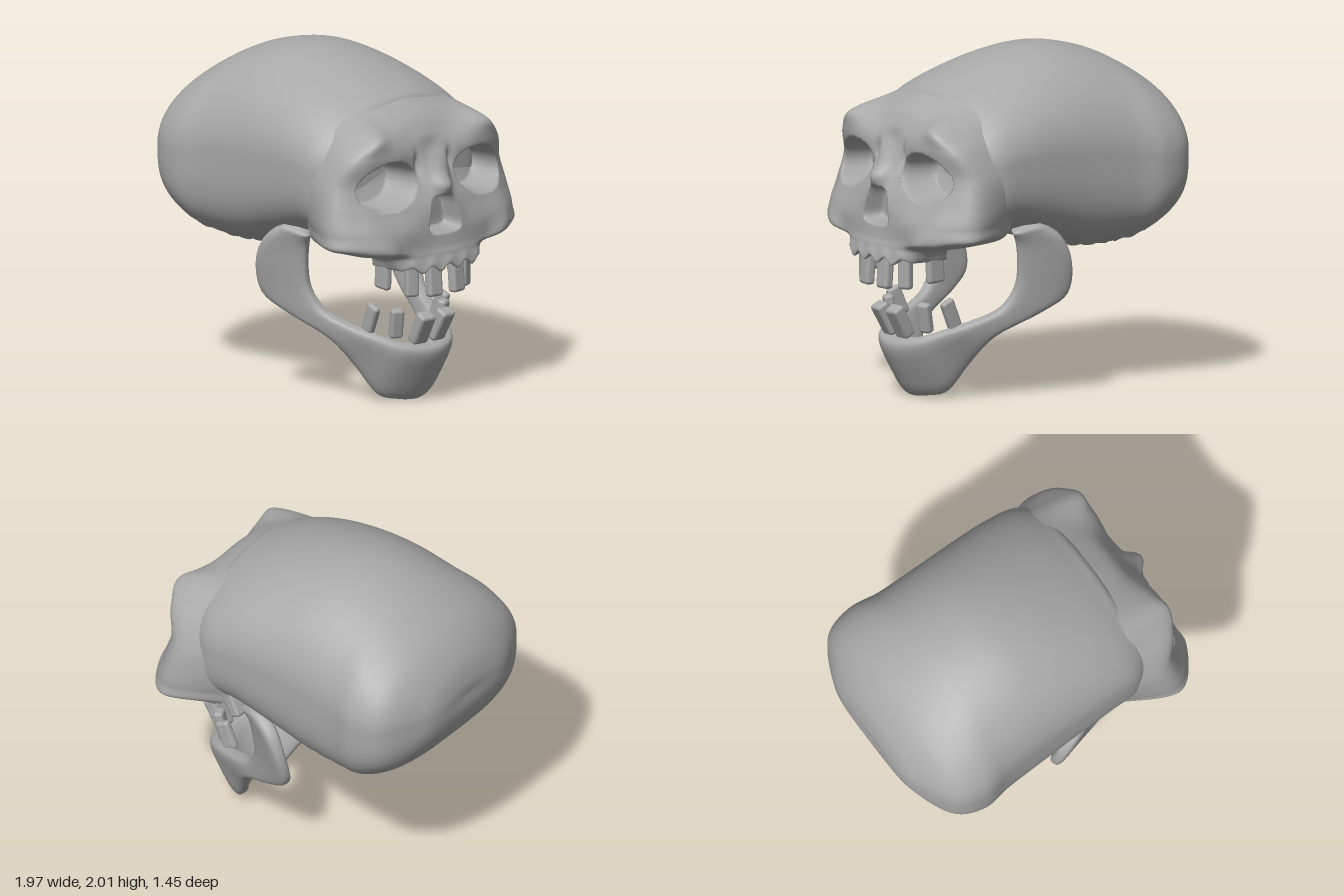
import * as THREE from 'three';
import { RoundedBoxGeometry } from 'three/addons/geometries/RoundedBoxGeometry.js';

// Catmull-Rom through rows of numbers, t in 0..1
function spline(rows, t) {
  const n = rows.length - 1;
  const s = Math.min(Math.max(t, 0), 1) * n;
  const i = Math.min(Math.floor(s), n - 1), f = s - i;
  const at = k => rows[Math.min(Math.max(k, 0), n)];
  const [a, b, c, d] = [at(i - 1), at(i), at(i + 1), at(i + 2)];
  return b.map((_, k) => 0.5 * (2 * b[k] + (c[k] - a[k]) * f
    + (2 * a[k] - 5 * b[k] + 4 * c[k] - d[k]) * f * f
    + (3 * b[k] - a[k] - 3 * c[k] + d[k]) * f * f * f));
}

// Grid surface from point(u, v) -> [x, y, z]; closed joins the last column to the first
function surface(nu, nv, closed, point) {
  const pos = [], idx = [], cols = closed ? nv : nv + 1;
  for (let i = 0; i <= nu; i++)
    for (let j = 0; j < cols; j++) pos.push(...point(i / nu, j / nv));
  for (let i = 0; i < nu; i++)
    for (let j = 0; j < nv; j++) {
      const k = (j + 1) % cols;
      const a = i * cols + j, b = a + cols, c = (i + 1) * cols + k, d = i * cols + k;
      idx.push(a, b, c, a, c, d);
    }
  const g = new THREE.BufferGeometry();
  g.setAttribute('position', new THREE.Float32BufferAttribute(pos, 3));
  g.setIndex(idx);
  g.computeVertexNormals();
  return g;
}

const power = (v, e) => Math.sign(v) * Math.pow(Math.abs(v), e);
const smooth = THREE.MathUtils.smoothstep;

// Cranium stations from back to front: x, top, bottom, half width
const CRANIUM = [
  [-0.98, 1.38, 1.38, 0], [-0.98, 1.47, 1.28, 0.27], [-0.935, 1.61, 1.14, 0.44],
  [-0.82, 1.755, 0.99, 0.64], [-0.64, 1.875, 0.865, 0.7], [-0.45, 1.955, 0.815, 0.67],
  [-0.2, 2.0, 0.825, 0.66], [0.05, 1.975, 0.89, 0.66], [0.3, 1.905, 0.955, 0.66],
  [0.5, 1.825, 0.955, 0.64], [0.6, 1.755, 1.02, 0.54], [0.63, 1.55, 1.2, 0.28], [0.63, 1.38, 1.38, 0],
];

function craniumPoint(u, v) {
  const [x, top, bottom, w] = spline(CRANIUM, u);
  const a = v * Math.PI * 2, c = Math.cos(a), s = Math.sin(a);
  const e = s >= 0 ? 1 : 2 / 3.3;
  let y = (top + bottom) / 2 + power(s, e) * (top - bottom) / 2;
  const z = power(c, e) * w;
  // ribbed underside at the back
  const rib = smooth(x, -0.8, -0.65) * (1 - smooth(x, -0.2, 0)) * (1 - smooth(y, 0.85, 1));
  y += rib * 0.006 * (Math.sin(x * 60) + Math.sin(z * 45));
  return [x, y, z];
}

// Face rows from forehead to palate: y, then x,z pairs from the middle to the temple
const FACE = [
  [1.80, 0.53, 0, 0.51, 0.10, 0.47, 0.20, 0.41, 0.30, 0.32, 0.36, 0.20, 0.42],
  [1.70, 0.71, 0, 0.70, 0.12, 0.66, 0.26, 0.59, 0.38, 0.44, 0.44, 0.28, 0.46],
  [1.60, 0.79, 0, 0.79, 0.14, 0.81, 0.30, 0.82, 0.44, 0.63, 0.51, 0.38, 0.52],
  [1.50, 0.82, 0, 0.84, 0.14, 0.86, 0.32, 0.82, 0.52, 0.69, 0.60, 0.36, 0.56],
  [1.35, 0.93, 0, 0.86, 0.13, 0.83, 0.34, 0.79, 0.54, 0.66, 0.665, 0.34, 0.60],
  [1.20, 0.95, 0, 0.92, 0.13, 0.88, 0.34, 0.83, 0.55, 0.68, 0.70, 0.34, 0.59],
  [1.07, 0.94, 0, 0.94, 0.16, 0.93, 0.34, 0.88, 0.56, 0.70, 0.715, 0.36, 0.56],
  [0.96, 0.95, 0, 0.945, 0.16, 0.935, 0.32, 0.93, 0.48, 0.74, 0.69, 0.44, 0.55],
  [0.91, 0.965, 0, 0.955, 0.15, 0.93, 0.28, 0.85, 0.36, 0.74, 0.38, 0.65, 0.36],
  [0.83, 0.975, 0, 0.965, 0.15, 0.93, 0.26, 0.84, 0.30, 0.74, 0.31, 0.65, 0.30],
  [0.92, 0.82, 0, 0.82, 0.10, 0.79, 0.18, 0.74, 0.22, 0.68, 0.22, 0.62, 0.20],
];

function facePoint(u, v) {
  const row = spline(FACE, u), pts = [];
  for (let k = -5; k <= 5; k++) {
    const m = 1 + 2 * Math.abs(k);
    pts.push([row[m], k < 0 ? row[m + 1] : -row[m + 1]]);
  }
  let [x, z] = spline(pts, v), y = row[0];
  const side = Math.abs(z);
  // arched brows, cheek edge and scalloped gums
  y += 0.03 * Math.exp(-(((side - 0.4) / 0.14) ** 2) - ((y - 1.58) / 0.1) ** 2);
  y += 0.03 * smooth(side, 0.5, 0.68) * (1 - smooth(y, 0.9, 1.05));
  y += 0.018 * Math.cos(side * 48) * (1 - smooth(y, 0.84, 0.92)) * smooth(x, 0.85, 0.9);
  // eye sockets
  const eye = ((side - 0.36) / 0.2) ** 2 + ((y - 1.335 + (side - 0.36) * 0.1) / 0.14) ** 2;
  x -= 0.21 * (1 - smooth(eye, 0.75, 1.05)) * smooth(x, 0.6, 0.7);
  // nasal opening, wider below, with the bone standing out above it
  const nose = (side / (0.11 - 0.25 * (y - 1.12))) ** 4 + ((y - 1.14) / 0.11) ** 4;
  x -= 0.12 * (1 - smooth(nose, 0.5, 1.3));
  x += 0.025 * Math.exp(-((z / 0.07) ** 4) - ((y - 1.31) / 0.045) ** 2);
  // creases between the brows
  x -= 0.03 * Math.exp(-(((side - 0.13) / 0.025) ** 2) - ((y - 1.43) / 0.07) ** 2);
  return [x, y, z];
}

// Jaw stations from hinge to chin: front/upper edge x,y,z, rear/lower edge x,y,z, half thickness
const JAW_HALF = [
  [0.32, 1.0, 0.49, 0.18, 1.05, 0.54, 0.04],
  [0.27, 0.92, 0.46, 0.03, 0.95, 0.58, 0.05],
  [0.25, 0.78, 0.45, -0.045, 0.79, 0.58, 0.045],
  [0.26, 0.64, 0.43, -0.045, 0.60, 0.53, 0.045],
  [0.34, 0.52, 0.39, 0.10, 0.49, 0.46, 0.045],
  [0.50, 0.45, 0.33, 0.35, 0.36, 0.36, 0.045],
  [0.66, 0.40, 0.27, 0.46, 0.20, 0.26, 0.045],
  [0.76, 0.36, 0.19, 0.55, 0.04, 0.18, 0.055],
  [0.80, 0.345, 0.10, 0.61, 0.01, 0.10, 0.065],
  [0.81, 0.34, 0, 0.64, 0.0, 0, 0.07],
];
const JAW = [
  ...JAW_HALF,
  ...JAW_HALF.slice(0, -1).reverse().map(r => [r[0], r[1], -r[2], r[3], r[4], -r[5], r[6]]),
];

function jawPoint(u, v) {
  const ends = t => {
    const r = spline(JAW, t);
    return [new THREE.Vector3(r[0], r[1], r[2]), new THREE.Vector3(r[3], r[4], r[5]), r[6]];
  };
  const middle = t => { const [a, b] = ends(t); return a.add(b).multiplyScalar(0.5); };
  const [a, b, thick] = ends(u);
  const half = a.clone().sub(b).multiplyScalar(0.5);
  const out = middle(u + 0.01).sub(middle(u - 0.01)).cross(half).normalize();
  const size = u === 0 || u === 1 ? 0 : 1;
  const ang = v * Math.PI * 2;
  return middle(u)
    .addScaledVector(half, size * power(Math.sin(ang), 0.6))
    .addScaledVector(out, size * thick * power(Math.cos(ang), 0.6)).toArray();
}

// Teeth: x, y, z, depth, height, width, forward tilt, outward turn
const UPPER = [
  [0.935, 0.76, 0.09, 0.06, 0.2, 0.1, 0.08, -0.1],
  [0.875, 0.765, 0.21, 0.06, 0.2, 0.085, 0, -0.4],
  [0.725, 0.785, 0.295, 0.12, 0.17, 0.05, -0.05, -0.1],
];
const LOWER = [
  [0.82, 0.45, 0.075, 0.08, 0.2, 0.105, -0.5, -0.1],
  [0.715, 0.475, 0.18, 0.06, 0.18, 0.08, -0.2, -0.4],
  [0.6, 0.5, 0.275, 0.09, 0.18, 0.05, -0.4, -0.1],
];

export function createModel() {
  const bone = new THREE.MeshStandardMaterial({ color: 0xa8a8a8, side: THREE.DoubleSide });
  bone.name = 'bone grey';
  const model = new THREE.Group();
  model.name = 'skull';
  const add = (parent, name, geometry) => {
    const mesh = new THREE.Mesh(geometry, bone);
    mesh.name = name;
    parent.add(mesh);
    return mesh;
  };

  add(model, 'cranium', surface(96, 96, true, craniumPoint));
  add(model, 'face', surface(160, 200, false, facePoint));
  add(model, 'jaw', surface(90, 28, true, jawPoint));

  for (const [name, list] of [['upperTeeth', UPPER], ['lowerTeeth', LOWER]]) {
    const group = new THREE.Group();
    group.name = name;
    model.add(group);
    for (const [x, y, z, d, h, w, tilt, turn] of list)
      for (const s of [1, -1]) {
        const tooth = add(group, 'tooth', new RoundedBoxGeometry(d, h, w, 2, 0.02));
        tooth.position.set(x, y, z * s);
        tooth.rotation.set(0, turn * s, tilt, 'YXZ');
      }
  }
  return model;
}
